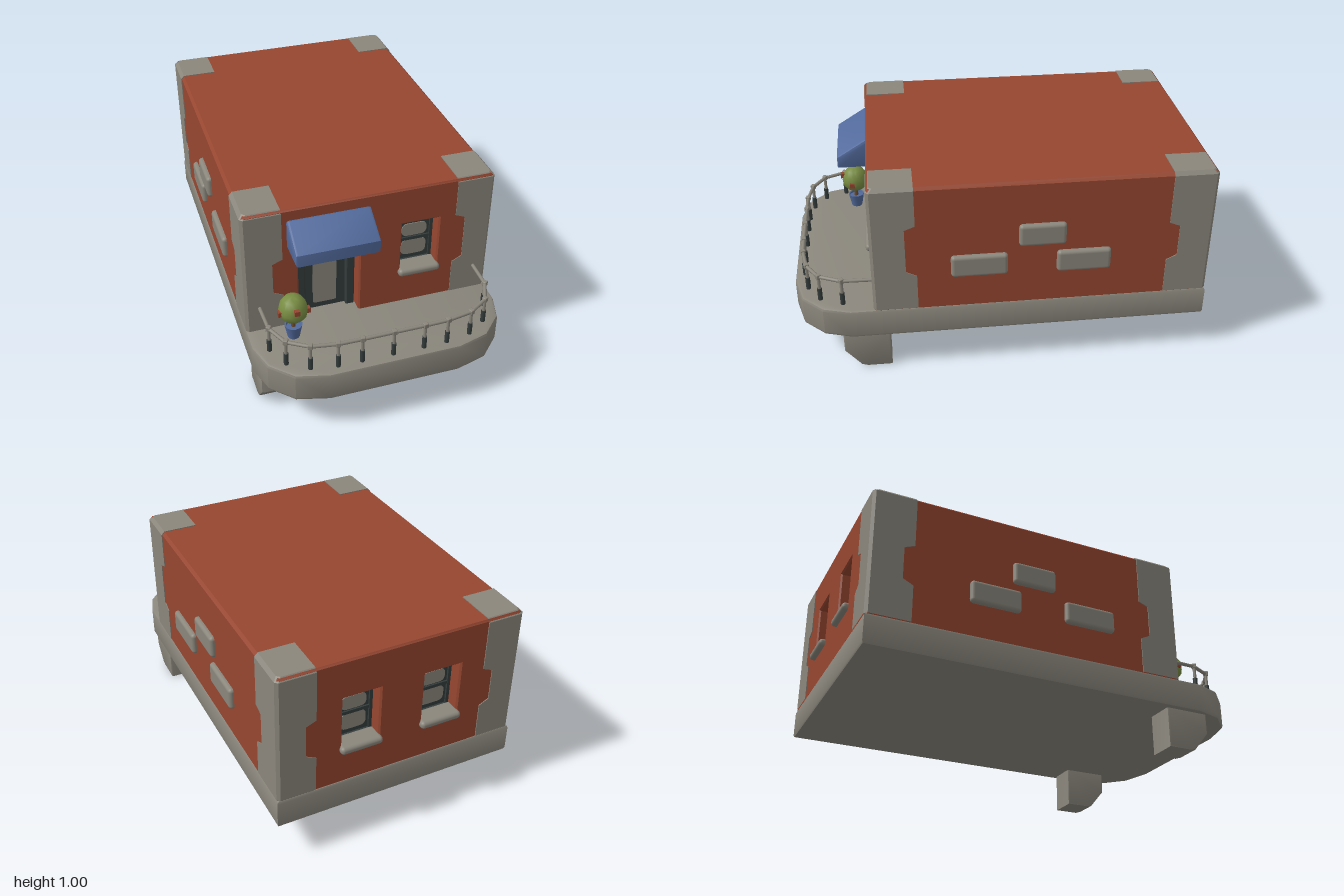
import * as THREE from 'three';
import { toCreasedNormals } from 'three/addons/utils/BufferGeometryUtils.js';
import { RoundedBoxGeometry } from 'three/addons/geometries/RoundedBoxGeometry.js';

const mat = (name, color) => Object.assign(new THREE.MeshStandardMaterial({ color }), { name });

export function createModel() {
  const root = new THREE.Group();
  root.name = 'house';
  const stone = mat('stone', 0x8a867c), brick = mat('brick red', 0x964630), blue = mat('blue', 0x526a9c);
  const dark = mat('dark slate', 0x343c3b), leaf = mat('leaf green', 0x788c42), wood = mat('wood', 0x6e4c2c);

  function add(name, geo, material, x = 0, y = 0, z = 0, parent = root) {
    const m = new THREE.Mesh(geo, material);
    m.name = name;
    m.position.set(x, y, z);
    parent.add(m);
    return m;
  }
  const poly = (pts) => new THREE.Shape(pts.map(([x, y]) => new THREE.Vector2(x, y)));
  const rect = (x0, y0, x1, y1) => poly([[x0, y0], [x1, y0], [x1, y1], [x0, y1]]);
  // Extrusion occupying z = 0..depth, keeping its outline size when bevelled
  function extrude(shape, depth, bevel = 0, segs = 2) {
    const g = new THREE.ExtrudeGeometry(shape, {
      depth: depth - 2 * bevel, bevelEnabled: bevel > 0, bevelSize: bevel, bevelThickness: bevel,
      bevelOffset: -bevel, bevelSegments: segs, curveSegments: 8,
    });
    g.translate(0, 0, bevel);
    return toCreasedNormals(g, 0.6);
  }
  // Side profile given as [z, y], extruded along x and centred
  function profileX(pts, width, bevel) {
    const g = extrude(poly(pts.map(([z, y]) => [-z, y])), width, bevel);
    return g.translate(0, 0, -width / 2).rotateY(Math.PI / 2);
  }

  // Base slab with the rounded porch front
  const half = [[0.6, -0.975], [0.6, 0.73], [0.56, 0.86], [0.46, 0.96], [0.31, 1.0]];
  const plan = [...half, ...half.map(([x, z]) => [-x, z]).reverse()];
  add('baseSlab', extrude(poly(plan.map(([x, z]) => [x, -z]).reverse()), 0.15, 0.014).rotateX(-Math.PI / 2), stone, 0, 0.2, 0);

  // Front legs
  const legProfile = [[0.55, 0.21], [0.775, 0.21], [0.775, 0.1], [0.7, 0.01], [0.67, 0], [0.55, 0]];
  for (const s of [-1, 1]) add('leg', profileX(legProfile, 0.145, 0.01), stone, s * 0.502);

  // Brick body: solid core plus end walls with recesses
  const W = 0.594, B = 0.34, T = 0.993, c = 0.014;
  const top = [[W, B], [W, T - c], [W - c, T], [-W + c, T], [-W, T - c], [-W, B]];
  const core = poly(top);
  const frontWall = poly([...top, [-0.342, B], [-0.342, 0.787], [-0.052, 0.787], [-0.052, B]]);
  const windowHole = (x) => rect(x - 0.09, 0.53, x + 0.09, 0.8);
  frontWall.holes.push(windowHole(0.243));
  const backWall = poly(top);
  for (const x of [-0.2, 0.2]) backWall.holes.push(windowHole(x));
  add('bodyCore', extrude(core, 1.415), brick, 0, 0, -0.88);
  add('frontWall', extrude(frontWall, 0.098, 0.008, 1), brick, 0, 0, 0.52);
  add('backWall', extrude(backWall, 0.1, 0.008, 1), brick, 0, 0, -0.97).geometry.computeBoundingBox();

  // Stone corners, lofted upward with a notch in the middle
  function cornerGeometry(sx, sz, X, Z, notchTop) {
    const levels = [
      [0.35, 0.183, 0.21, 0], [0.53, 0.183, 0.21, 0], [0.555, 0.135, 0.16, 0], [notchTop - 0.02, 0.135, 0.16, 0],
      [notchTop, 0.183, 0.21, 0], [0.98, 0.183, 0.21, 0], [0.997, 0.183, 0.21, 0.016],
    ];
    const pos = [], idx = [], n = 5;
    const tri = (a, b, d) => idx.push(...(sx * sz > 0 ? [a, b, d] : [a, d, b]));
    levels.forEach(([y, w, d, inset], k) => {
      const x = X - inset, z = Z - inset;
      for (const [px, pz] of [[x, Z - d], [x, z - 0.014], [x - 0.014, z], [X - w, z], [X - w, Z - d]]) pos.push(px * sx, y, pz * sz);
      if (k === 0) return;
      for (let i = 0; i < n; i++) {
        const a = (k - 1) * n + i, b = (k - 1) * n + (i + 1) % n;
        tri(a, a + n, b);
        tri(b, a + n, b + n);
      }
    });
    const t = (levels.length - 1) * n;
    for (let i = 1; i < n - 1; i++) tri(t, t + i + 1, t + i);
    const g = new THREE.BufferGeometry();
    g.setAttribute('position', new THREE.Float32BufferAttribute(pos, 3));
    g.setIndex(idx);
    return toCreasedNormals(g, 0.3);
  }
  for (const sx of [-1, 1]) for (const sz of [-1, 1])
    add('cornerStones', cornerGeometry(sx, sz, 0.598, sz > 0 ? 0.621 : 0.974, sx + sz === 2 ? 0.8 : 0.735), stone);

  // Protruding side stones
  for (const s of [-1, 1]) for (const [z, y, l] of [[0.122, 0.573, 0.265], [-0.17, 0.72, 0.22], [-0.367, 0.568, 0.255]])
    add('sideStone', new RoundedBoxGeometry(0.06, 0.113, l, 2, 0.018), stone, s * 0.587, y, z);

  // Rounded rectangle, used for panes and the arched door panel
  function roundedRect(w, h, rTop, rBottom) {
    const s = new THREE.Shape(), x = w / 2;
    s.moveTo(-x + rBottom, 0).lineTo(x - rBottom, 0).quadraticCurveTo(x, 0, x, rBottom);
    s.lineTo(x, h - rTop).quadraticCurveTo(x, h, x - rTop, h).lineTo(-x + rTop, h);
    s.quadraticCurveTo(-x, h, -x, h - rTop).lineTo(-x, rBottom).quadraticCurveTo(-x, 0, -x + rBottom, 0);
    return s;
  }

  // Windows: dark frame, two panes, stone sill; local z = 0 is the wall face
  function addWindow(x, z, turn) {
    const g = new THREE.Group();
    g.name = 'window';
    g.position.set(x, 0, z);
    g.rotation.y = turn;
    root.add(g);
    add('windowBack', new THREE.BoxGeometry(0.18, 0.27, 0.02), dark, 0, 0.665, -0.085, g);
    const frame = rect(-0.09, 0.53, 0.09, 0.8);
    frame.holes.push(rect(-0.075, 0.545, 0.075, 0.785));
    add('windowFrame', extrude(frame, 0.015), dark, 0, 0, -0.08, g);
    add('windowBar', new THREE.BoxGeometry(0.15, 0.016, 0.012), dark, 0, 0.661, -0.073, g);
    add('lowerPane', extrude(roundedRect(0.124, 0.084, 0.03, 0.03), 0.006), stone, 0, 0.567, -0.077, g);
    add('upperPane', extrude(roundedRect(0.124, 0.068, 0.03, 0.03), 0.006), stone, 0, 0.675, -0.077, g);
    add('windowSill', new RoundedBoxGeometry(0.205, 0.038, 0.1, 3, 0.017), stone, 0, 0.53, -0.022, g);
  }
  addWindow(0.243, 0.618, 0);
  for (const x of [-0.2, 0.2]) addWindow(x, -0.97, Math.PI);

  // Door with raised frame and arched panel
  add('doorLeaf', new THREE.BoxGeometry(0.29, 0.44, 0.02), dark, -0.197, 0.567, 0.532);
  const doorFrame = poly([[-0.337, 0.35], [-0.297, 0.35], [-0.297, 0.737], [-0.097, 0.737], [-0.097, 0.35], [-0.057, 0.35], [-0.057, 0.785], [-0.337, 0.785]]);
  add('doorFrame', extrude(doorFrame, 0.03, 0.004, 1), dark, 0, 0, 0.538);
  add('doorPanel', extrude(roundedRect(0.115, 0.265, 0.045, 0.01), 0.006), stone, -0.197, 0.38, 0.54);

  // Awning over the door
  add('awning', profileX([[0.6, 0.79], [0.765, 0.79], [0.765, 0.85], [0.625, 0.937], [0.6, 0.937]], 0.39, 0.012), blue, -0.197);

  // Porch railing following the rounded front
  const halfRail = [[0, 0.955], [0.148, 0.955], [0.26, 0.953], [0.382, 0.932], [0.477, 0.872], [0.526, 0.765]];
  const posts = [...halfRail.slice(1).reverse().map(([x, z]) => [-x, z]), ...halfRail];
  const railPath = [[-0.53, 0.61], ...posts, [0.53, 0.61]].map(([x, z]) => new THREE.Vector3(x, 0.48, z));
  for (let i = 1; i < railPath.length; i++) {
    const a = railPath[i - 1], b = railPath[i];
    add('handrail', new THREE.TubeGeometry(new THREE.LineCurve3(a, b), 1, 0.009, 8), stone);
  }
  for (const [x, z] of posts) {
    add('postFoot', new THREE.CylinderGeometry(0.0115, 0.0115, 0.065, 8), dark, x, 0.382, z);
    add('postTop', new THREE.CylinderGeometry(0.008, 0.008, 0.07, 8), stone, x, 0.446, z);
    add('postJoint', new RoundedBoxGeometry(0.023, 0.025, 0.023, 1, 0.004), stone, x, 0.481, z).rotation.y = Math.atan2(x, z);
  }

  // Potted round bush with small flowers
  const bush = new THREE.Group();
  bush.name = 'pottedBush';
  bush.position.set(-0.395, 0, 0.703);
  root.add(bush);
  const lathe = (pts, n) => toCreasedNormals(new THREE.LatheGeometry(pts.map(([r, y]) => new THREE.Vector2(r, y)), n), 0.7);
  add('pot', lathe([[0, 0.35], [0.028, 0.35], [0.042, 0.42], [0.034, 0.42], [0.032, 0.41], [0, 0.41]], 12), blue, 0, 0, 0, bush);
  add('trunk', new THREE.CylinderGeometry(0.009, 0.011, 0.08, 8), wood, 0, 0.44, 0, bush);
  add('foliage', lathe([[0, 0.458], [0.045, 0.46], [0.064, 0.482], [0.068, 0.51], [0.062, 0.542], [0.044, 0.57], [0.022, 0.582], [0, 0.585]], 14), leaf, 0, 0, 0, bush);
  for (const [x, y, z] of [[0.002, 0.538, 0.062], [-0.062, 0.508, 0.012], [0.063, 0.505, 0.015], [0.005, 0.53, -0.062]])
    add('flower', new THREE.BoxGeometry(0.025, 0.025, 0.025), brick, x, y, z, bush);

  return root;
}
